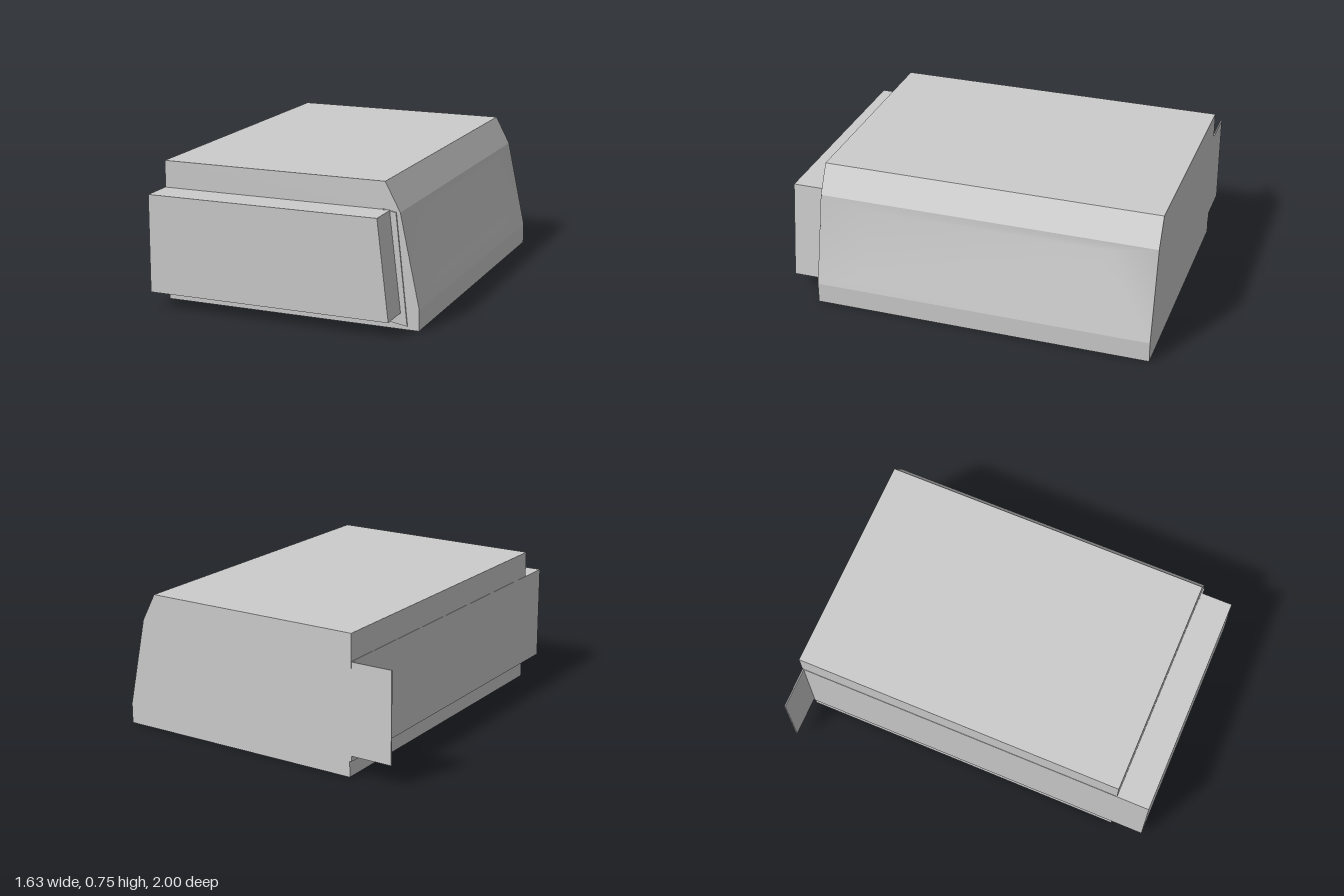
import * as THREE from 'three';

const material = new THREE.MeshStandardMaterial({ color: 0xcccccc, side: THREE.DoubleSide });

// Extrude an xy outline between two z positions
function slab(name, points, z0, z1) {
  const shape = new THREE.Shape(points.map(([x, y]) => new THREE.Vector2(x, y)));
  const geometry = new THREE.ExtrudeGeometry(shape, { depth: z1 - z0, bevelEnabled: false });
  geometry.translate(0, 0, z0);
  const mesh = new THREE.Mesh(geometry, material);
  mesh.name = name;
  return mesh;
}

// Sloped face: outer rim and a sunken inner rectangle, smoothly shaded
function slopedFace(zFront, zBack) {
  const top = [0.71, 0.595], bottom = [0.815, 0.11];
  const innerTop = [0.705, 0.54], innerBottom = [0.798, 0.18];
  const ring = (t, b, z0, z1) => [[...b, z0], [...b, z1], [...t, z1], [...t, z0]];
  const points = [...ring(top, bottom, zFront, zBack), ...ring(innerTop, innerBottom, 0.58, -0.73)];
  const index = [4, 5, 6, 4, 6, 7];
  for (let i = 0; i < 4; i++) {
    const j = (i + 1) % 4;
    index.push(i, j, j + 4, i, j + 4, i + 4);
  }
  const geometry = new THREE.BufferGeometry();
  geometry.setAttribute('position', new THREE.Float32BufferAttribute(points.flat(), 3));
  geometry.setIndex(index);
  geometry.computeVertexNormals();
  const mesh = new THREE.Mesh(geometry, material);
  mesh.name = 'slopedFace';
  return mesh;
}

export function createModel() {
  const group = new THREE.Group();
  group.name = 'housing';

  // Body outline, with an optional hollow behind the sloped face
  const outline = (hollow) => [
    [-0.58, 0], [0.815, 0], [0.815, 0.11], ...hollow,
    [0.71, 0.595], [0.63, 0.745], [-0.59, 0.745], [-0.59, 0.085], [-0.58, 0.085],
  ];
  group.add(slab('body', outline([[0.785, 0.18], [0.69, 0.54]]), -0.995, 0.817));
  group.add(slab('frontEndPlate', outline([]), 0.817, 0.822));
  group.add(slab('backEndPlate', outline([]), -0.998, -0.995));
  group.add(slopedFace(0.822, -0.998));

  // Box running through the body and standing out at the front
  group.add(slab('frontBox', [[-0.592, 0.085], [0.72, 0.085], [0.657, 0.603], [-0.592, 0.603]], -0.99, 1));

  // Thin trim beside the front box
  group.add(slab('frontTrim', [[0.66, 0.035], [0.755, 0.02], [0.69, 0.595], [0.62, 0.607]], 0.82, 0.83));

  // Thin flap at the back corner
  group.add(slab('backFlap', [[-0.818, 0.113], [-0.58, 0.113], [-0.58, 0.6], [-0.818, 0.6]], -0.997, -0.99));

  return group;
}
